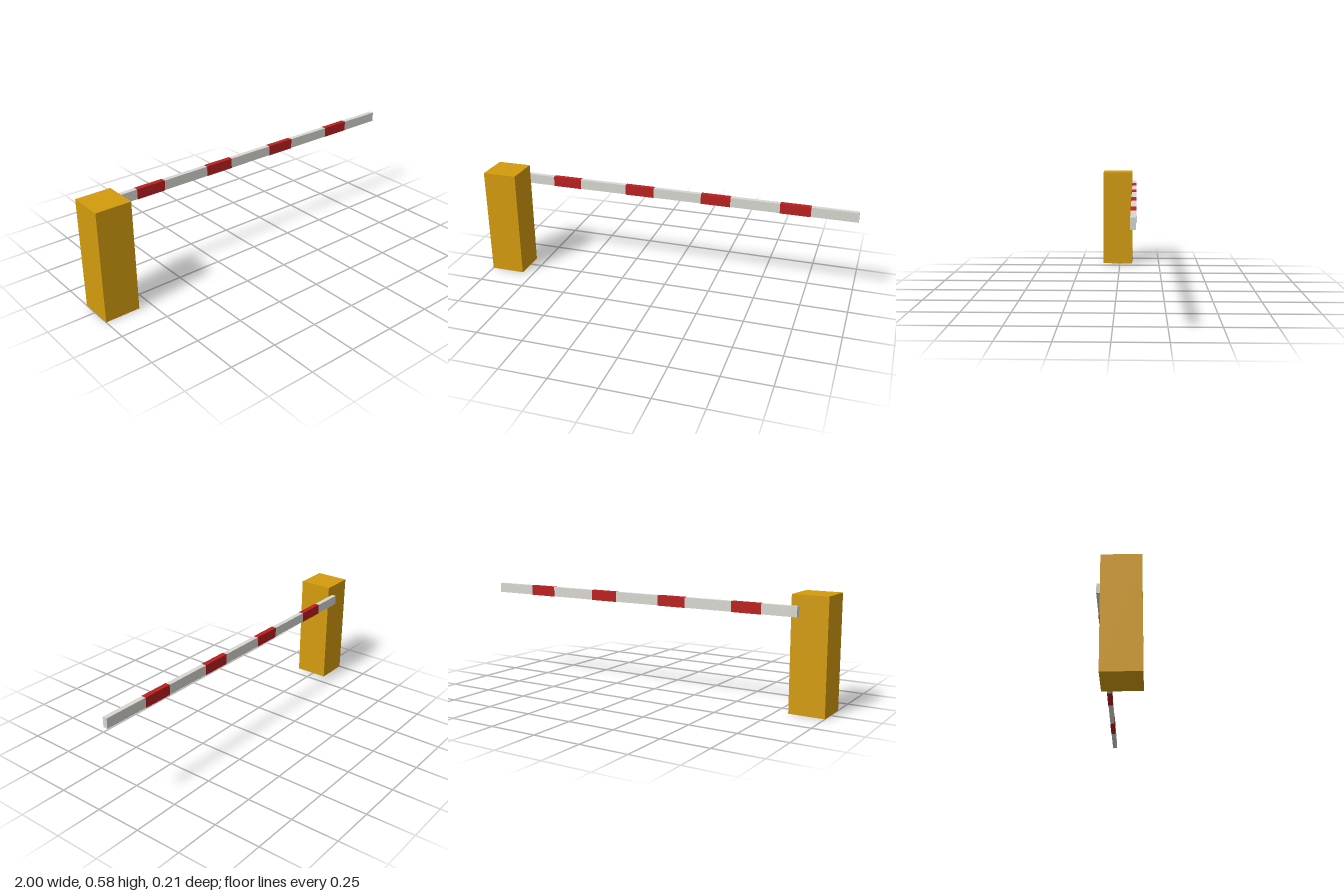
import * as THREE from 'three';

const material = (name, color) => {
  const m = new THREE.MeshStandardMaterial({ color });
  m.name = name;
  return m;
};

// Box given by its minimum and maximum corners
function box(name, mat, [x0, y0, z0], [x1, y1, z1]) {
  const mesh = new THREE.Mesh(new THREE.BoxGeometry(x1 - x0, y1 - y0, z1 - z0), mat);
  mesh.position.set((x0 + x1) / 2, (y0 + y1) / 2, (z0 + z1) / 2);
  mesh.name = name;
  return mesh;
}

export function createModel() {
  const yellow = material('housing yellow', 0xd49c0e);
  const white = material('arm off-white', 0xd8d7d1);
  const red = material('stripe red', 0xbb2020);

  const model = new THREE.Group();
  model.name = 'barrierGate';

  // Cabinet holding the drive
  model.add(box('cabinet', yellow, [-1, 0, -0.079], [-0.815, 0.584, 0.106]));

  // Boom arm mounted on the back of the cabinet
  const boom = new THREE.Group();
  boom.name = 'boom';
  boom.add(box('arm', white, [-0.855, 0.478, -0.105], [1, 0.53, -0.08]));

  // Red bands, just proud of the arm on all four sides
  for (let i = 0; i < 4; i++) {
    const x = -0.67 + i * 0.423;
    boom.add(box(`stripe${i + 1}`, red, [x, 0.477, -0.106], [x + 0.16, 0.531, -0.079]));
  }
  model.add(boom);
  return model;
}
